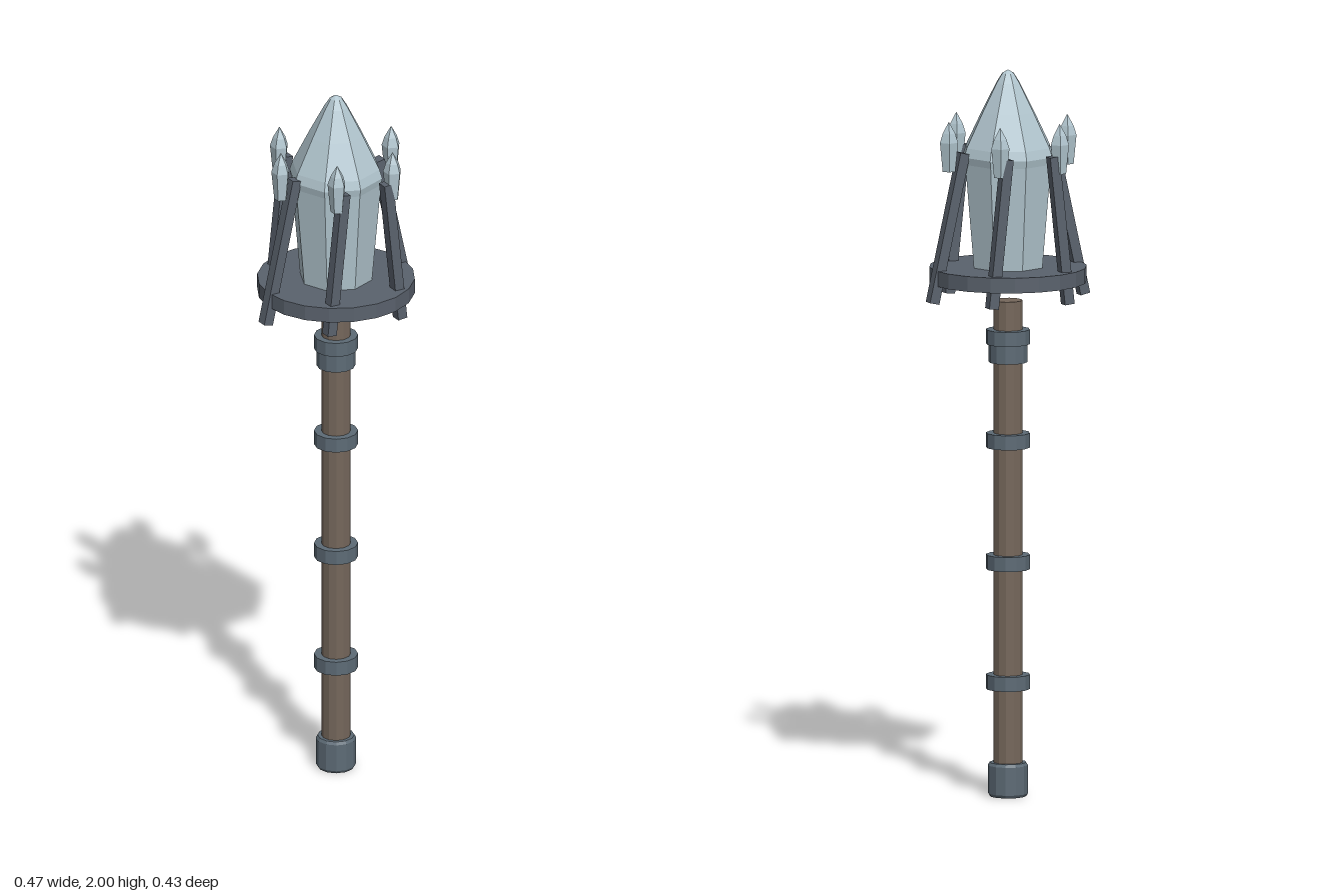
import * as THREE from 'three';

const mat = (name, color) => {
  const m = new THREE.MeshStandardMaterial({ color, flatShading: true });
  m.name = name;
  return m;
};

export function createModel() {
  const group = new THREE.Group();
  const wood = mat('brown wood', 0x75675b);
  const steel = mat('blue steel', 0x5d6b76);
  const iron = mat('dark iron', 0x5a626d);
  const crystal = mat('pale crystal', 0xb2c6cf);

  const add = (name, geometry, material) => {
    const mesh = new THREE.Mesh(geometry, material);
    mesh.name = name;
    group.add(mesh);
    return mesh;
  };
  // Upright cylinder between two heights
  const drum = (name, r, y0, y1, sides, material) => {
    add(name, new THREE.CylinderGeometry(r, r, y1 - y0, sides), material).position.y = (y0 + y1) / 2;
  };
  // Faceted solid turned from [radius, height] pairs, listed bottom to top
  const turned = (points, sides, start = 0) =>
    new THREE.LatheGeometry(points.map(([r, y]) => new THREE.Vector2(r, y)), sides, start);

  // Handle with its fittings
  drum('shaft', 0.04, 0.02, 1.365, 12, wood);
  add('pommel', turned([[0, 0], [0.05, 0], [0.055, 0.008], [0.055, 0.085], [0.05, 0.093], [0, 0.093]], 12), steel);
  for (const y of [0.315, 0.645, 0.98, 1.265]) drum('gripRing', 0.06, y - 0.02, y + 0.02, 12, steel);
  drum('collar', 0.053, 1.195, 1.247, 12, steel);

  // Head: round plate and large crystal
  drum('plate', 0.215, 1.417, 1.459, 20, iron);
  add('crystal', turned([
    [0, 1.385], [0.097, 1.418], [0.1, 1.45], [0.126, 1.745], [0.13, 1.765], [0.122, 1.79],
    [0.075, 1.885], [0.033, 1.965], [0.017, 1.99], [0, 2],
  ], 8), crystal);

  // Leaning prongs, each with a small crystal beside its top
  const finial = turned([[0, 1.728], [0.018, 1.73], [0.026, 1.81], [0.018, 1.835], [0, 1.867]], 5, Math.PI / 2);
  const prongs = [[0, 0.223, 0.132, 0.175], [0.152, 0.112, 0.068, 0.088], [-0.152, 0.112, 0.068, 0.088]];
  for (const side of [-1, 1]) {
    for (const [z, xLow, xHigh, xTip] of prongs) {
      const dx = xHigh - xLow;
      const dy = 0.408;
      const prong = add('prong', new THREE.BoxGeometry(0.028, Math.hypot(dx, dy), 0.03), iron);
      prong.position.set(side * (xLow + xHigh) / 2, 1.574, z);
      prong.rotation.z = -side * Math.atan2(dx, dy);
      add('prongCrystal', finial, crystal).position.set(side * xTip, 0, z);
    }
  }
  return group;
}
